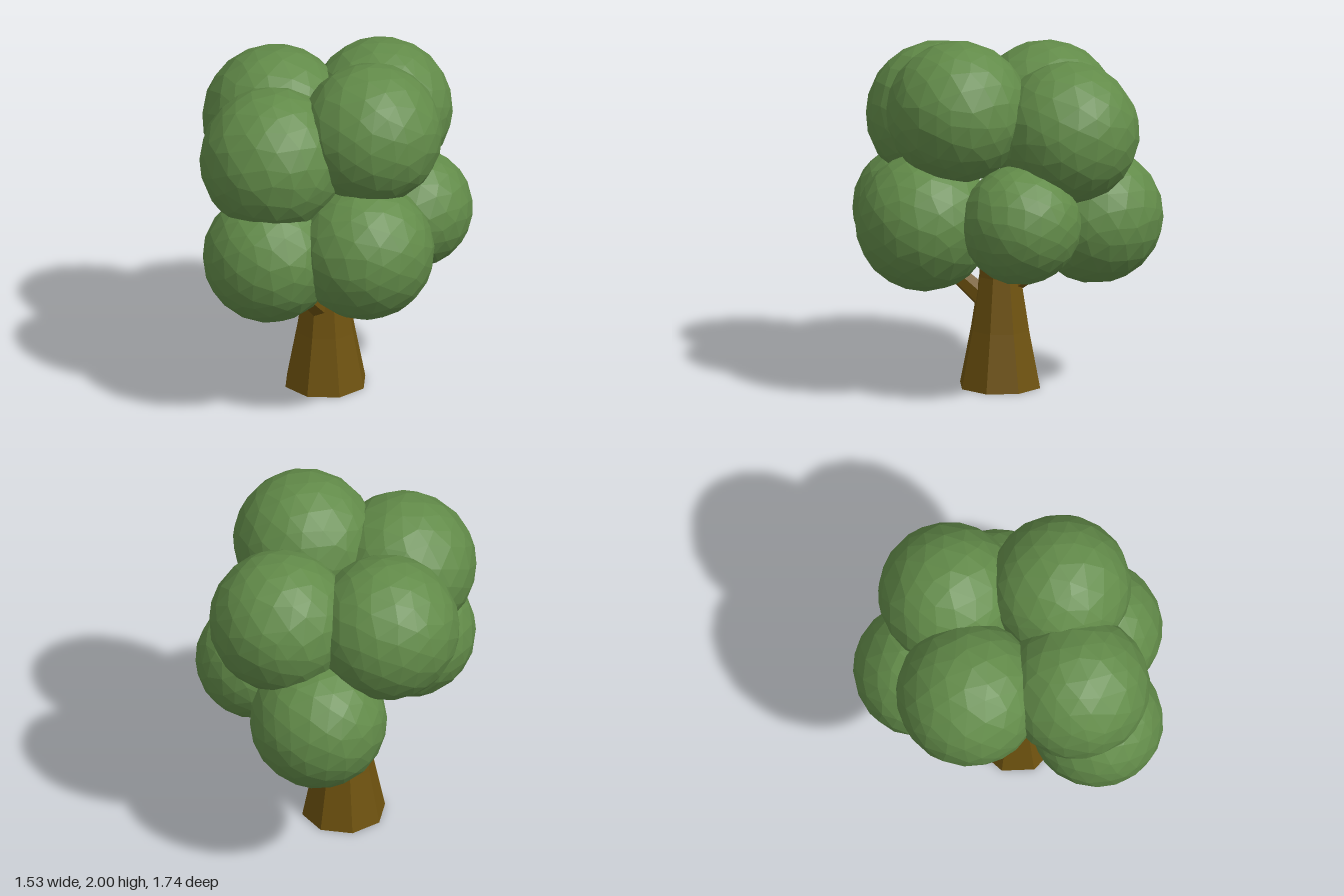
import * as THREE from 'three';

const leaf = new THREE.MeshStandardMaterial({ color: 0x628b49, flatShading: true });
leaf.name = 'leafGreen';
const bark = new THREE.MeshStandardMaterial({ color: 0x6e520f, flatShading: true });
bark.name = 'barkBrown';

// Faceted ball whose vertices slide along the surface for uneven facets
function foliageGeometry(r, seed) {
  const geo = new THREE.IcosahedronGeometry(1, 3);
  const p = geo.attributes.position;
  const v = new THREE.Vector3();
  for (let i = 0; i < p.count; i++) {
    v.fromBufferAttribute(p, i);
    const { x, y, z } = v;
    v.x += 0.045 * Math.sin(17 * y + 11 * z + seed);
    v.y += 0.045 * Math.sin(13 * z + 19 * x + seed * 2);
    v.z += 0.045 * Math.sin(15 * x + 12 * y + seed * 3);
    v.normalize().multiplyScalar(r * 1.005);
    p.setXYZ(i, v.x, v.y, v.z);
  }
  geo.rotateY(seed * 1.3);
  geo.computeVertexNormals();
  return geo;
}

// Tapered limb between two points
function limb(name, from, to, r0, r1) {
  const a = new THREE.Vector3(...from);
  const dir = new THREE.Vector3(...to).sub(a);
  const geo = new THREE.CylinderGeometry(r1, r0, dir.length(), 6);
  const mesh = new THREE.Mesh(geo, bark);
  mesh.name = name;
  mesh.position.copy(a).addScaledVector(dir, 0.5);
  mesh.quaternion.setFromUnitVectors(new THREE.Vector3(0, 1, 0), dir.normalize());
  return mesh;
}

export function createModel() {
  const tree = new THREE.Group();
  tree.name = 'tree';

  // Flared eight-sided trunk
  const profile = [[0, 0], [0.232, 0], [0.168, 0.32], [0.12, 0.62], [0.108, 0.8], [0.08, 1.15], [0, 1.15]];
  const trunk = new THREE.Mesh(
    new THREE.LatheGeometry(profile.map(([x, y]) => new THREE.Vector2(x, y)), 8), bark);
  trunk.name = 'trunk';
  tree.add(trunk);

  // Branches
  tree.add(limb('frontBranch', [0, 0.46, 0.06], [0, 0.76, 0.44], 0.065, 0.035));
  tree.add(limb('backBranch', [0, 0.56, -0.06], [-0.05, 0.79, -0.4], 0.045, 0.03));

  // Foliage: x, y, z, radius
  const crown = new THREE.Group();
  crown.name = 'crown';
  const balls = [
    ['upperRightFoliage', -0.37, 1.46, -0.14, 0.4],
    ['upperBackFoliage', 0.13, 1.49, -0.44, 0.39],
    ['upperLeftFoliage', 0.34, 1.61, 0.13, 0.39],
    ['upperFrontFoliage', -0.13, 1.47, 0.4, 0.4],
    ['lowerFrontFoliage', -0.1, 0.94, 0.505, 0.365],
    ['lowerLeftFoliage', 0.385, 0.985, 0.305, 0.38],
    ['lowerBackLeftFoliage', 0.405, 1.02, -0.26, 0.33],
    ['lowerBackFoliage', -0.155, 0.965, -0.495, 0.375],
  ];
  balls.forEach(([name, x, y, z, r], i) => {
    const ball = new THREE.Mesh(foliageGeometry(r, i + 1), leaf);
    ball.name = name;
    ball.position.set(x, y, z);
    crown.add(ball);
  });
  tree.add(crown);
  return tree;
}
